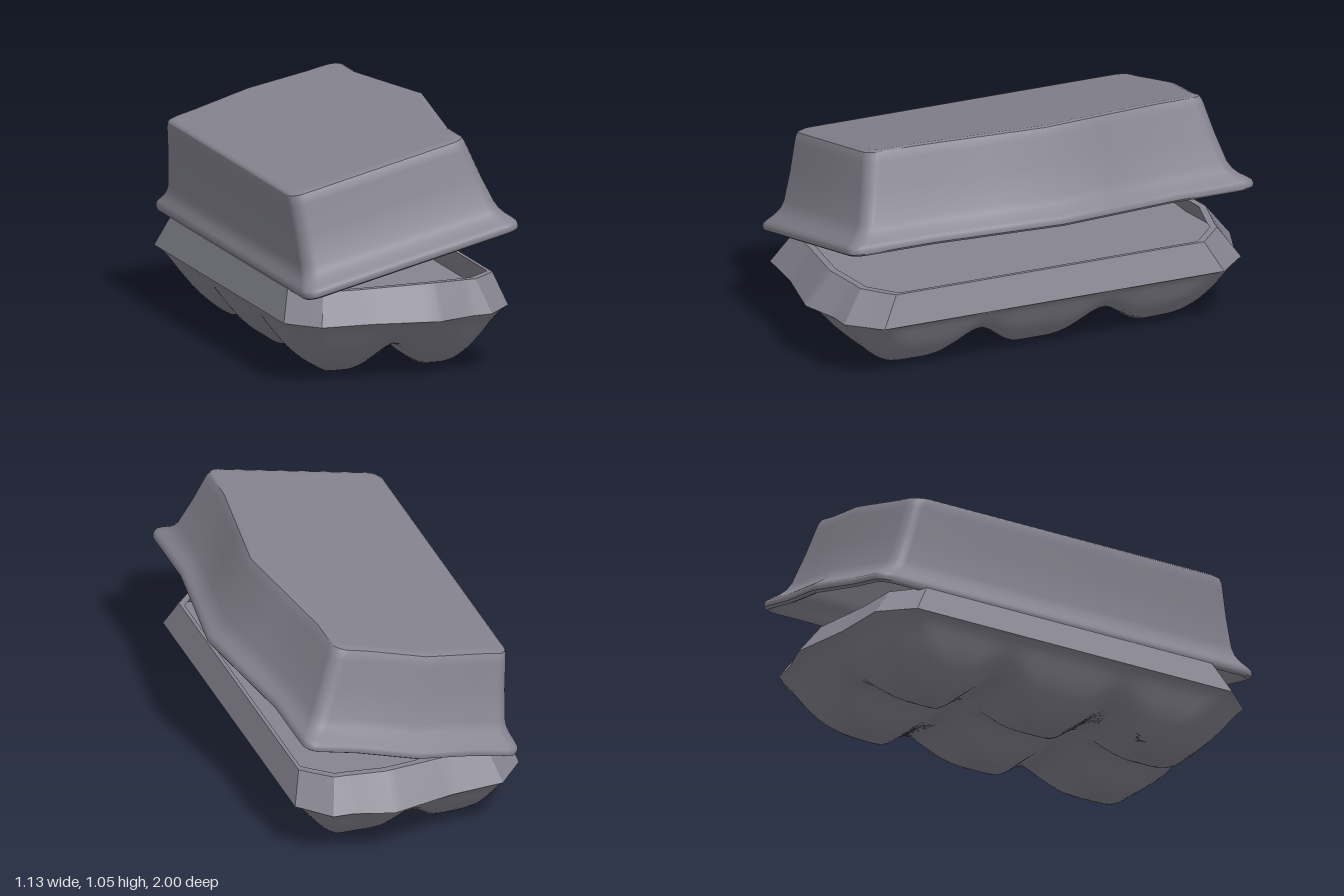
import * as THREE from 'three';
import { toCreasedNormals } from 'three/addons/utils/BufferGeometryUtils.js';

const V = (x, y, z) => new THREE.Vector3(x, y, z);

// Skin a list of closed rings that all have the same number of points
function loft(rings, crease) {
  const pos = [];
  const tri = (a, b, c) => {
    if (a.distanceTo(b) < 1e-6 || b.distanceTo(c) < 1e-6 || c.distanceTo(a) < 1e-6) return;
    for (const p of [a, b, c]) pos.push(p.x, p.y, p.z);
  };
  for (let i = 0; i < rings.length - 1; i++) {
    const n = rings[i].length;
    for (let j = 0; j < n; j++) {
      const k = (j + 1) % n;
      tri(rings[i][j], rings[i + 1][j], rings[i][k]);
      tri(rings[i][k], rings[i + 1][j], rings[i + 1][k]);
    }
  }
  const g = new THREE.BufferGeometry();
  g.setAttribute('position', new THREE.Float32BufferAttribute(pos, 3));
  return toCreasedNormals(g, crease);
}

// ---- Tray ----
const CX = -0.05;
const BELT = 0.275;

// Chamfered outline, with a shallow point in each end
function trayOutline(xL, xR, cL, cR, zSide, zEnd, zTip) {
  const end = [[cR, zEnd], [0.25, zEnd + 0.008], [0.08, zTip], [-0.2, zEnd + 0.012], [cL, zEnd]];
  const pts = [[xR, -zSide], [xR, zSide], ...end, [xL, zSide], [xL, -zSide],
    ...end.slice().reverse().map(([x, z]) => [x, -z])];
  const out = [];
  pts.forEach(([x, z], i) => {
    const [x2, z2] = pts[(i + 1) % pts.length];
    const n = i === 0 || i === 7 ? 36 : 6;
    for (let j = 0; j < n; j++) out.push([x + (x2 - x) * j / n, z + (z2 - z) * j / n]);
  });
  return out;
}

// Rounded valley between neighbouring cups
const ridge = (t) => 0.065 * (1 - Math.cos(Math.PI * Math.min(1, t) ** 1.35));

// Two by three cups, rising to the belt on the outside
function cupHeight(x, z) {
  const dx = Math.abs(x - CX) - 0.23;
  const hx = dx < 0 ? ridge(-dx / 0.23) : BELT * (dx / 0.285) ** 1.7;
  const az = Math.abs(z), dz = az - 0.58;
  const hz = dz > 0 ? BELT * (dz / 0.41) ** 2 : ridge((az > 0.29 ? -dz : az) / 0.29);
  return Math.min(BELT, Math.cbrt(hx ** 3 + hz ** 3));
}

function buildTray() {
  const belt = trayOutline(-0.565, 0.465, -0.44, 0.34, 0.8, 0.935, 1);
  const brim = trayOutline(-0.52, 0.42, -0.4, 0.3, 0.725, 0.84, 0.885);
  const scale = (o, s, yOf) => o.map(([x, z]) => {
    const px = CX + (x - CX) * s, pz = z * s;
    return V(px, yOf(px, pz), pz);
  });
  const rimY = (x) => 0.409 + 0.011 * Math.max(0, 1 - Math.abs(x - 0.08) / 0.3);
  const N = 36, rings = [];
  for (let i = 0; i <= N; i++) { // underside
    const s = i / N, w = s ** 12;
    rings.push(scale(belt, s, (x, z) => {
      const h = cupHeight(x, z);
      return h + (BELT - h) * w;
    }));
  }
  rings.push(scale(brim, 1, rimY), scale(brim, 0.965, rimY)); // sloped wall and rim
  for (const s of [0.965, 0]) rings.push(scale(belt, s, () => BELT + 0.01)); // inside floor
  return loft(rings, 0.42);
}

// ---- Lid ----
// Rounded outline, pointed towards the opening edge and bulged at the back end
function lidOutline(d, v) {
  const u0 = d * 0.55, u1 = 1.016 - d * 0.62, z = 0.957 - d;
  const r = 0.06, out = [];
  const arc = (cu, cz, from) => {
    for (let i = 0; i <= 6; i++) {
      const a = from + (i / 6) * Math.PI / 2;
      out.push(V(cu + r * Math.cos(a), v, cz + r * Math.sin(a)));
    }
  };
  out.push(V(u1, v, -0.57), V(u1 + 0.048, v, -0.28), V(u1 + 0.095, v, 0),
    V(u1 + 0.048, v, 0.28), V(u1, v, 0.57));
  arc(u1 - r, z - r, 0);
  arc(u0 + r, z - r, Math.PI / 2);
  arc(u0 + r, -z + r, Math.PI);
  out.push(V(0.22, v, -z - 0.003), V(0.5, v, -z - 0.042), V(0.77, v, -z - 0.003));
  arc(u1 - r, -z + r, Math.PI * 1.5);
  return out;
}

function buildLid() {
  // inset and height: inner ceiling, inner wall, rolled lip, flared outer wall, top
  const profile = [[0.23, 0.405], [0.2, 0.405], [0.175, 0.375], [0.12, 0.12], [0.09, 0.075],
    [0.05, 0.03], [0.035, 0.002], [0.018, -0.006], [0.003, 0.003], [0, 0.016], [0.004, 0.03],
    [0.02, 0.043], [0.05, 0.064], [0.073, 0.088], [0.09, 0.12], [0.125, 0.25], [0.152, 0.37],
    [0.158, 0.395], [0.168, 0.414], [0.188, 0.422], [0.21, 0.422]];
  const rings = profile.map(([d, v]) => lidOutline(d, v));
  const point = (v) => rings[0].map(() => V(0.5, v, 0));
  return loft([point(0.405), ...rings, point(0.422)], 0.65);
}

export function createModel() {
  const pulp = new THREE.MeshStandardMaterial({ color: 0x858490 });
  pulp.name = 'grey pulp';
  const group = new THREE.Group();
  group.name = 'eggCarton';

  const tray = new THREE.Mesh(buildTray(), pulp);
  tray.name = 'cupTray';

  // lid tilted open about its hinge edge
  const lid = new THREE.Mesh(buildLid(), pulp);
  lid.name = 'lid';
  lid.position.set(-0.513, 0.4, 0);
  lid.rotation.z = THREE.MathUtils.degToRad(13.9);

  group.add(tray, lid);
  return group;
}
